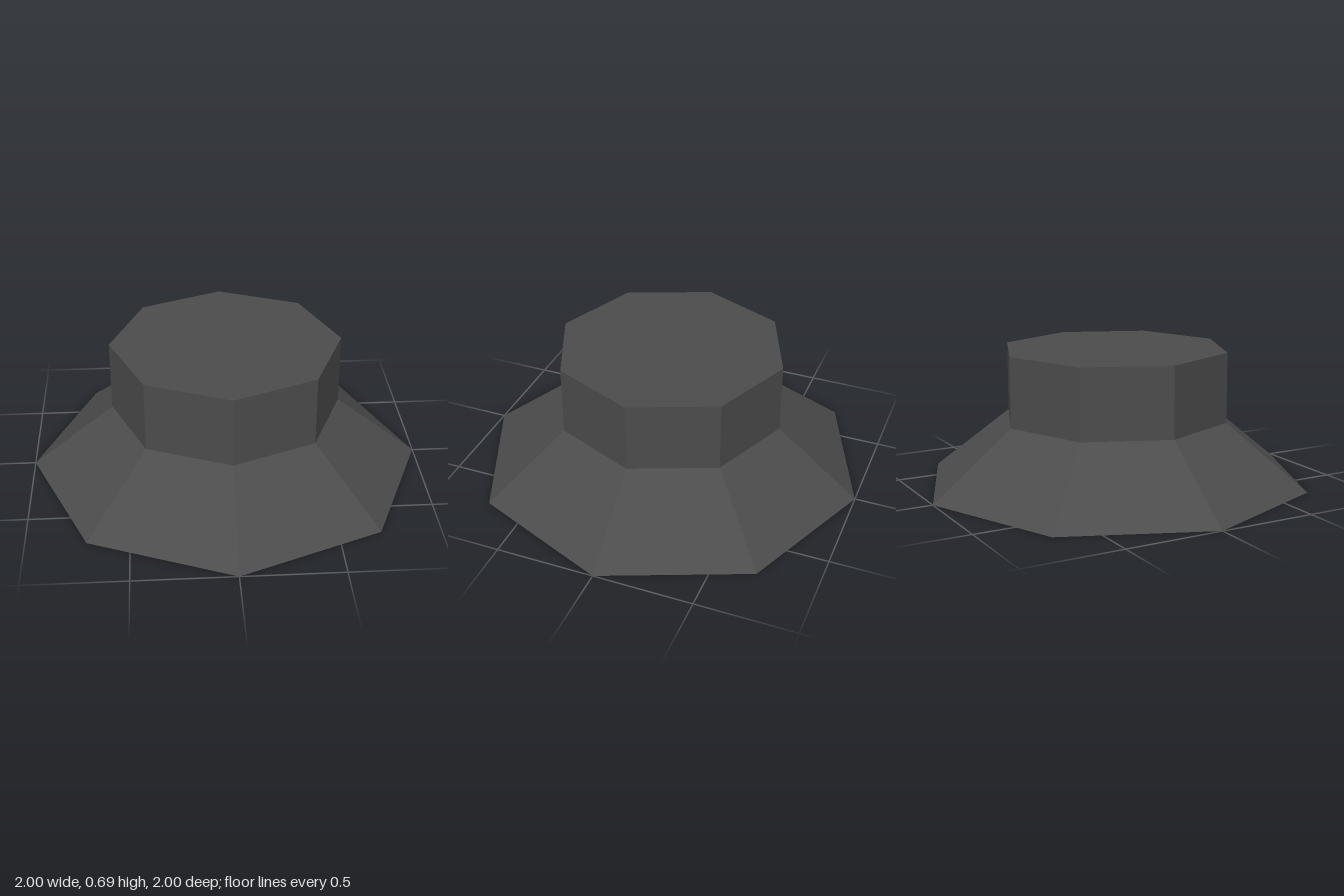
import * as THREE from 'three';

const SIDES = 8;

export function createModel() {
  const model = new THREE.Group();
  const darkGrey = new THREE.MeshStandardMaterial({ color: 0x4c4c4c, flatShading: true });
  darkGrey.name = 'dark grey';
  const warmBeige = new THREE.MeshStandardMaterial({ color: 0xb3ae9c, flatShading: true });
  warmBeige.name = 'warm beige';

  const add = (name, geometry, material, y = 0) => {
    const mesh = new THREE.Mesh(geometry, material);
    mesh.name = name;
    mesh.position.y = y;
    model.add(mesh);
    return mesh;
  };

  // Flared skirt: sloping recess underneath, sharp rim, outer slope up to the collar
  const skirtProfile = [[0.635, 0.154], [1, 0], [0.583, 0.33]].map(([r, y]) => new THREE.Vector2(r, y));
  add('skirt', new THREE.LatheGeometry(skirtProfile, SIDES), darkGrey);

  // Straight eight-sided collar with a flat top
  add('collar', new THREE.CylinderGeometry(0.583, 0.583, 0.357, SIDES), darkGrey, 0.33 + 0.357 / 2);

  // Pale panel facing down inside the recess
  const panel = add('undersidePanel', new THREE.CircleGeometry(0.635, SIDES), warmBeige, 0.154);
  panel.rotation.x = Math.PI / 2;

  return model;
}
